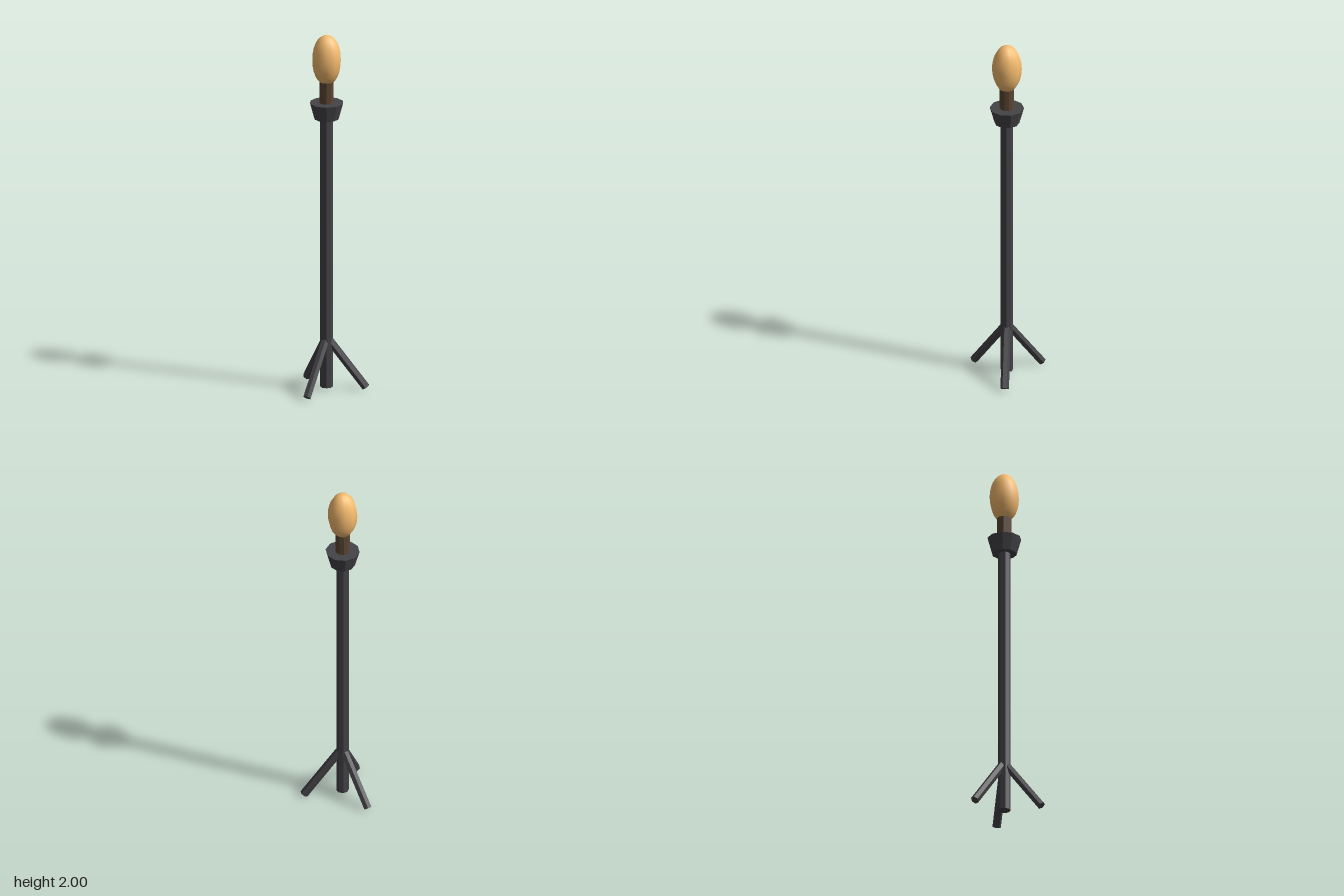
import * as THREE from 'three';

const AXIS_X = -0.052; // the pole stands off-centre because of the tripod

export function createModel() {
  const model = new THREE.Group();
  model.name = 'standingTorch';
  const iron = new THREE.MeshStandardMaterial({ color: 0x444448, flatShading: true });
  const wood = new THREE.MeshStandardMaterial({ color: 0x5c4633, flatShading: true });
  const glow = new THREE.MeshStandardMaterial({ color: 0xf8bd70 });

  // Upright faceted cylinder between two heights
  const column = (name, rTop, rBottom, y0, y1, sides, material) => {
    const mesh = new THREE.Mesh(new THREE.CylinderGeometry(rTop, rBottom, y1 - y0, sides), material);
    mesh.position.set(AXIS_X, (y0 + y1) / 2, 0);
    mesh.name = name;
    model.add(mesh);
  };
  column('pole', 0.034, 0.034, 0.015, 1.55, 8, iron);
  column('cup', 0.092, 0.067, 1.53, 1.62, 10, iron);
  column('torchHandle', 0.039, 0.039, 1.6, 1.74, 10, wood);

  // Flame: stretched smooth ball
  const flameGeometry = new THREE.SphereGeometry(0.08, 10, 14);
  flameGeometry.rotateY(Math.PI / 2);
  const flame = new THREE.Mesh(flameGeometry, glow);
  flame.scale.y = 0.14 / 0.08;
  flame.position.set(AXIS_X, 1.86, 0);
  flame.name = 'flame';
  model.add(flame);

  // Tripod: three splayed hexagonal legs
  const spread = 0.21, footY = 0.012, topY = 0.297;
  const length = Math.hypot(spread, topY - footY);
  for (let i = 0; i < 3; i++) {
    const geometry = new THREE.CylinderGeometry(0.023, 0.023, length, 6);
    geometry.rotateZ(Math.atan2(spread, topY - footY));
    geometry.translate(spread / 2, (footY + topY) / 2, 0);
    const leg = new THREE.Mesh(geometry, iron);
    leg.position.x = AXIS_X;
    leg.rotation.y = (i * Math.PI * 2) / 3;
    leg.name = 'leg' + (i + 1);
    model.add(leg);
  }
  return model;
}
